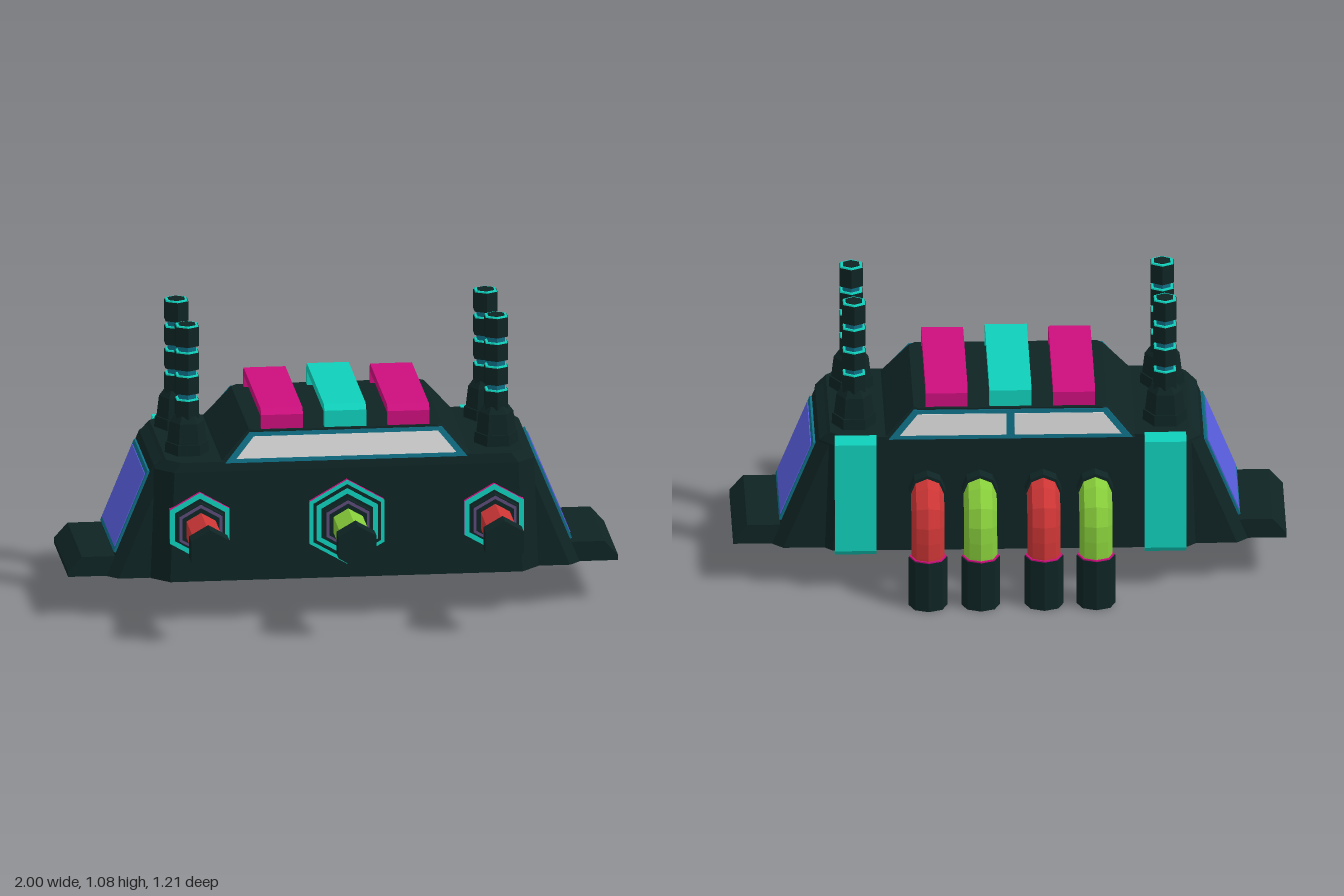
import * as THREE from 'three';

const mat = (name, color) => Object.assign(new THREE.MeshStandardMaterial({ color }), { name });
const dark = mat('dark hull', 0x0f2424);
const teal = mat('bright teal', 0x0fd0bb);
const trim = mat('blue teal trim', 0x0f6e85);
const magenta = mat('magenta', 0xcc0f7d);
const red = mat('red', 0xcc3535);
const green = mat('lime green', 0x86cc3a);
const blue = mat('side glass', 0x5a5ee0);
const grey = mat('pale glass', 0xd8d8d8);
const purple = mat('dull purple', 0x5c4a78);

// Faceted mesh
function part(parent, name, geometry, material, x = 0, y = 0, z = 0) {
  const flat = geometry.index ? geometry.toNonIndexed() : geometry;
  flat.computeVertexNormals();
  const mesh = new THREE.Mesh(flat, material);
  mesh.name = name;
  mesh.position.set(x, y, z);
  parent.add(mesh);
  return mesh;
}

// Stack of chamfered rectangles: [y, half width, back z, front z, chamfer]
function loft(levels) {
  const rings = levels.map(([y, w, b, f, c]) => [
    [w, f - c], [w, b + c], [w - c, b], [c - w, b], [-w, b + c], [-w, f - c], [c - w, f], [w - c, f],
  ].map(([x, z]) => [x, y, z]));
  const pos = [];
  const tri = (...p) => p.forEach((q) => pos.push(...q));
  const last = rings.length - 1;
  for (let i = 0; i < 8; i++) {
    const j = (i + 1) % 8;
    for (let k = 0; k < last; k++) {
      const lo = rings[k], hi = rings[k + 1];
      tri(lo[i], lo[j], hi[j]);
      tri(lo[i], hi[j], hi[i]);
    }
    if (i > 0 && i < 7) {
      tri(rings[last][0], rings[last][i], rings[last][j]);
      tri(rings[0][0], rings[0][j], rings[0][i]);
    }
  }
  const g = new THREE.BufferGeometry();
  g.setAttribute('position', new THREE.Float32BufferAttribute(pos, 3));
  return g;
}

function extrude(points, depth) {
  const shape = new THREE.Shape(points.map(([x, y]) => new THREE.Vector2(x, y)));
  return new THREE.ExtrudeGeometry(shape, { depth, bevelEnabled: false }).translate(0, 0, -depth / 2);
}

// Profile in (z, y), extruded along x
const extrudeAcross = (points, width) => extrude(points, width).rotateY(-Math.PI / 2);

// Hexagonal rod along z between two depths
function hexRod(parent, name, r, z0, z1, material) {
  const g = new THREE.CylinderGeometry(r, r, z1 - z0, 6).rotateX(Math.PI / 2);
  return part(parent, name, g, material, 0, 0, (z0 + z1) / 2);
}

function group(parent, name, x, y, z) {
  const g = new THREE.Group();
  g.name = name;
  g.position.set(x, y, z);
  parent.add(g);
  return g;
}

function addPort(parent, x, rings, barrel) {
  const port = group(parent, 'frontPort', x, 0.367, 0);
  hexRod(port, 'portBase', rings[0], 0.23, 0.262, magenta);
  rings.forEach((r, i) => {
    hexRod(port, 'portRing', r, 0.261, 0.265 + i * 0.003, i % 2 ? dark : teal);
  });
  hexRod(port, 'portCollar', 0.095, 0.26, 0.295, dark);
  hexRod(port, 'collarRim', 0.09, 0.294, 0.298, purple);
  hexRod(port, 'collarFace', 0.078, 0.296, 0.301, dark);
  hexRod(port, 'barrel', 0.061, 0.29, 0.54, barrel);
  hexRod(port, 'muzzle', 0.08, 0.53, 0.603, dark);
}

function addMast(parent, x, z) {
  const mast = group(parent, 'mast', x, 0, z);
  const hex = (name, r0, r1, y0, y1, m, turn = 0) => part(mast, name,
    new THREE.CylinderGeometry(r1, r0, y1 - y0, 6).rotateY(turn), m, 0, (y0 + y1) / 2, 0);
  hex('mastFoot', 0.082, 0.078, 0.58, 0.64, dark, Math.PI / 6);
  hex('mastCone', 0.072, 0.063, 0.64, 0.715, dark, Math.PI / 6);
  hex('mastShoulder', 0.063, 0.045, 0.715, 0.74, dark, Math.PI / 6);
  hex('mastCore', 0.035, 0.035, 0.72, 1.06, trim);
  for (const [y0, y1] of [[0.73, 0.797], [0.822, 0.886], [0.912, 0.975], [1.0, 1.072]]) {
    hex('mastSegment', 0.048, 0.048, y0, y1, dark);
    hex('segmentRim', 0.046, 0.044, y1, y1 + 0.005, teal);
  }
  hex('mastCap', 0.034, 0.034, 1.07, 1.079, dark);
}

function addPipe(parent, x, color) {
  const pipe = group(parent, 'exhaustPipe', x, 0, 0);
  const path = new THREE.CatmullRomCurve3([
    [0.40, -0.37], [0.40, -0.44], [0.375, -0.49], [0.325, -0.522], [0.26, -0.532], [0.15, -0.532],
  ].map(([y, z]) => new THREE.Vector3(0, y, z)));
  part(pipe, 'elbow', new THREE.TubeGeometry(path, 7, 0.06, 8), color);
  part(pipe, 'pipeCollar', new THREE.CylinderGeometry(0.066, 0.066, 0.07, 8).rotateX(Math.PI / 2),
    dark, 0, 0.402, -0.41);
  part(pipe, 'sleeve', new THREE.CylinderGeometry(0.07, 0.07, 0.188, 8), dark, 0, 0.094, -0.533);
  part(pipe, 'sleeveRim', new THREE.CylinderGeometry(0.067, 0.067, 0.006, 8), magenta, 0, 0.19, -0.533);
}

// Framed sloping windows on the cabin, one or two panes
function addCabinWindow(parent, z, turn, tilt, split) {
  const win = group(parent, 'cabinWindow', 0, 0.6, z);
  win.rotation.set(tilt, turn, 0, 'YXZ');
  part(win, 'windowFrame', extrude([[-0.44, -0.005], [0.44, -0.005], [0.35, 0.105], [-0.35, 0.105]], 0.009), trim);
  if (!split) {
    part(win, 'windowPane', extrude([[-0.4, 0.01], [0.4, 0.01], [0.335, 0.09], [-0.335, 0.09]], 0.009), grey, 0, 0, 0.003);
  } else {
    part(win, 'leftPane', extrude([[0.015, 0.01], [0.4, 0.01], [0.335, 0.09], [0.015, 0.09]], 0.009), grey, 0, 0, 0.003);
    part(win, 'rightPane', extrude([[-0.4, 0.01], [-0.015, 0.01], [-0.015, 0.09], [-0.335, 0.09]], 0.009), grey, 0, 0, 0.003);
  }
}

export function createModel() {
  const model = new THREE.Group();
  model.name = 'vehicle';

  // Hull
  part(model, 'hull', loft([
    [0.155, 0.705, -0.39, 0.245, 0.065], [0.565, 0.69, -0.39, 0.245, 0.065], [0.6, 0.65, -0.39, 0.24, 0.05],
  ]), dark);
  part(model, 'slopedEnds', loft([
    [0.156, 0.86, -0.36, 0.18, 0.04], [0.57, 0.69, -0.36, 0.18, 0.04], [0.598, 0.65, -0.35, 0.17, 0.04],
  ]), dark);
  part(model, 'footSlab', extrude(
    [[-1, 0.157], [1, 0.157], [1, 0.175], [0.95, 0.23], [-0.95, 0.23], [-1, 0.175]], 0.46), dark, 0, 0, -0.09);
  part(model, 'cabin', loft([
    [0.59, 0.46, -0.403, 0.245, 0.02], [0.71, 0.35, -0.39, 0.22, 0.02],
  ]), dark);
  addCabinWindow(model, 0.243, 0, -0.205, false);
  addCabinWindow(model, -0.402, Math.PI, -0.108, true);

  // Roof bars, raised on end legs
  const bar = [[0.21, 0.7], [0.21, 0.762], [0.188, 0.782], [-0.355, 0.782], [-0.376, 0.762], [-0.376, 0.7],
    [-0.35, 0.7], [-0.35, 0.752], [0.184, 0.752], [0.184, 0.7]];
  for (const x of [-0.23, 0, 0.23]) {
    part(model, 'roofBar', extrudeAcross(bar, 0.152), x ? magenta : teal, x, x ? 0 : 0.009, 0);
  }

  for (const s of [-1, 1]) {
    // Side windows lying on the sloped ends
    const side = group(model, 'sideWindow', s * 0.764, 0.39, -0.085);
    side.rotation.z = s * 0.389;
    part(side, 'sideFrame', new THREE.BoxGeometry(0.009, 0.325, 0.43), trim, s * 0.004);
    part(side, 'sideGlass', new THREE.BoxGeometry(0.009, 0.29, 0.4), blue, s * 0.007);

    // Rear vertical bands
    part(model, 'rearBand', extrudeAcross([[-0.365, 0.155], [-0.39, 0.14], [-0.42, 0.165], [-0.42, 0.58],
      [-0.39, 0.607], [-0.365, 0.595]].reverse(), 0.15), teal, s * 0.56);

    addMast(model, s * 0.562, 0.085);
    addMast(model, s * 0.562, -0.255);
    addPort(model, s * 0.535, [0.125, 0.104], red);
  }
  addPort(model, 0, [0.157, 0.142, 0.128, 0.108], green);

  // Rear exhausts
  [-0.305, -0.117, 0.112, 0.302].forEach((x, i) => addPipe(model, x, i % 2 ? red : green));

  return model;
}
